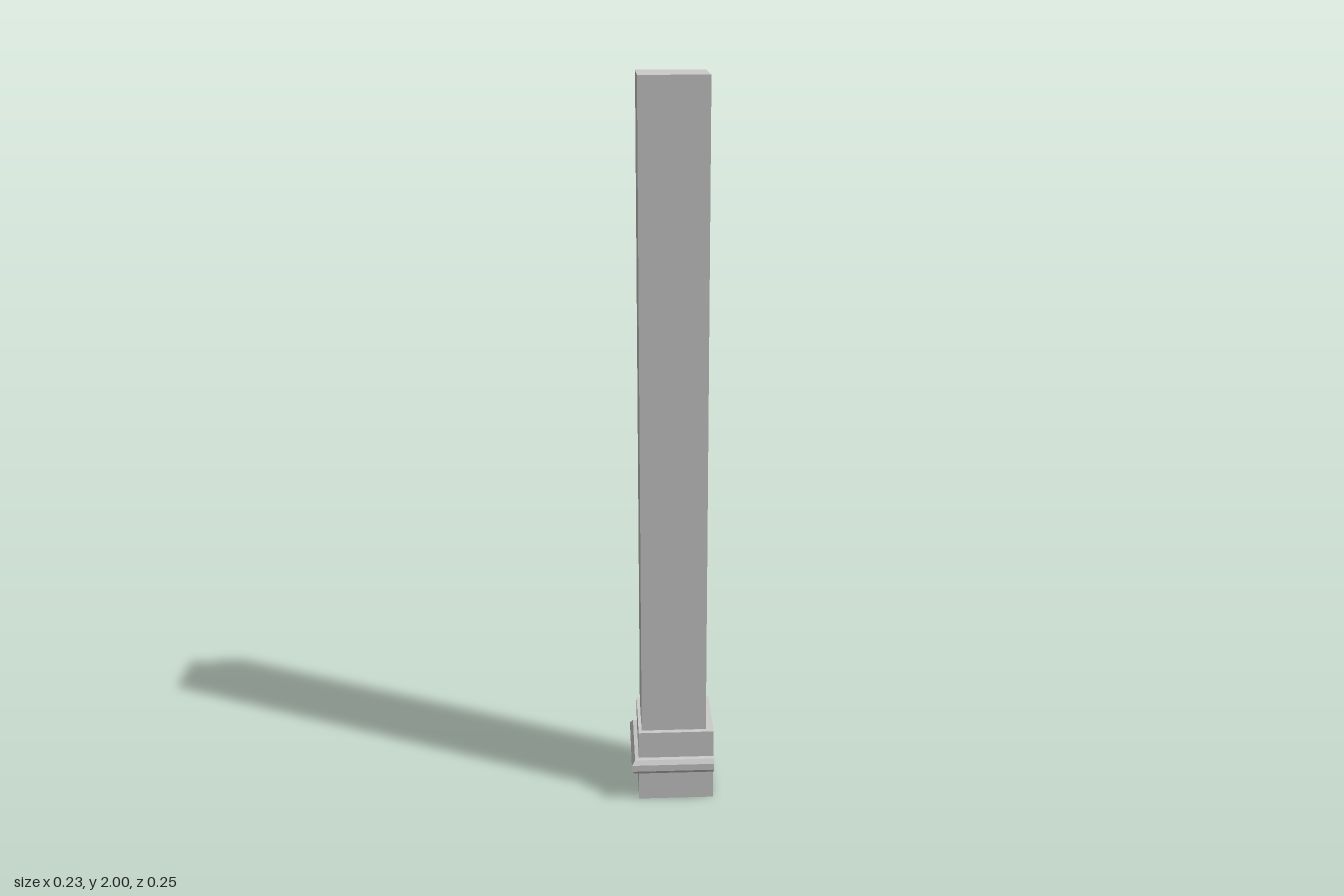
import * as THREE from 'three';

const X0 = -0.096, X1 = 0.115, Z0 = -0.106, Z1 = 0.104, BASE_H = 0.21;

// U-shaped band: one profile [outward offset, y] swept round three walls
function bandGeometry(profile) {
  const stations = [
    o => [X1, Z1 + o],
    o => [X0 - o, Z1 + o],
    o => [X0 - o, Z0 - o],
    o => [X1, Z0 - o],
  ];
  const pos = [], index = [], n = profile.length;
  for (const at of stations) {
    for (const [o, y] of profile) {
      const [x, z] = at(o);
      pos.push(x, y, z);
    }
  }
  for (let s = 0; s < stations.length - 1; s++) {
    for (let j = 0; j < n - 1; j++) {
      const a = s * n + j, b = a + 1, c = a + n, d = c + 1;
      index.push(a, c, b, b, c, d);
    }
  }
  const indexed = new THREE.BufferGeometry();
  indexed.setAttribute('position', new THREE.Float32BufferAttribute(pos, 3));
  indexed.setIndex(index);
  const geometry = indexed.toNonIndexed();
  geometry.computeVertexNormals();
  return geometry;
}

export function createModel() {
  const group = new THREE.Group();
  const solid = new THREE.MeshStandardMaterial({ color: 0xcccccc, flatShading: true });
  const thin = new THREE.MeshStandardMaterial({ color: 0xcccccc, flatShading: true, side: THREE.DoubleSide });
  const add = (name, geometry, material, x = 0, y = 0, z = 0) => {
    const mesh = new THREE.Mesh(geometry, material);
    mesh.name = name;
    mesh.position.set(x, y, z);
    group.add(mesh);
  };

  // Tall square column
  add('column', new THREE.BoxGeometry(0.181, 2 - BASE_H, 0.181), solid, 0.0035, (2 + BASE_H) / 2, -0.0015);

  // Hollow base box, open on +x (the first six indices are that face)
  const base = new THREE.BoxGeometry(X1 - X0, BASE_H, Z1 - Z0);
  base.setIndex(Array.from(base.index.array).slice(6));
  base.clearGroups();
  add('base', base, thin, (X0 + X1) / 2, BASE_H / 2, (Z0 + Z1) / 2);

  // Chamfered band round the three closed walls
  add('band', bandGeometry([
    [0, 0.132], [0.011, 0.13], [0.0195, 0.118], [0.0195, 0.099], [0.011, 0.088], [0, 0.086],
  ]), thin);

  return group;
}
